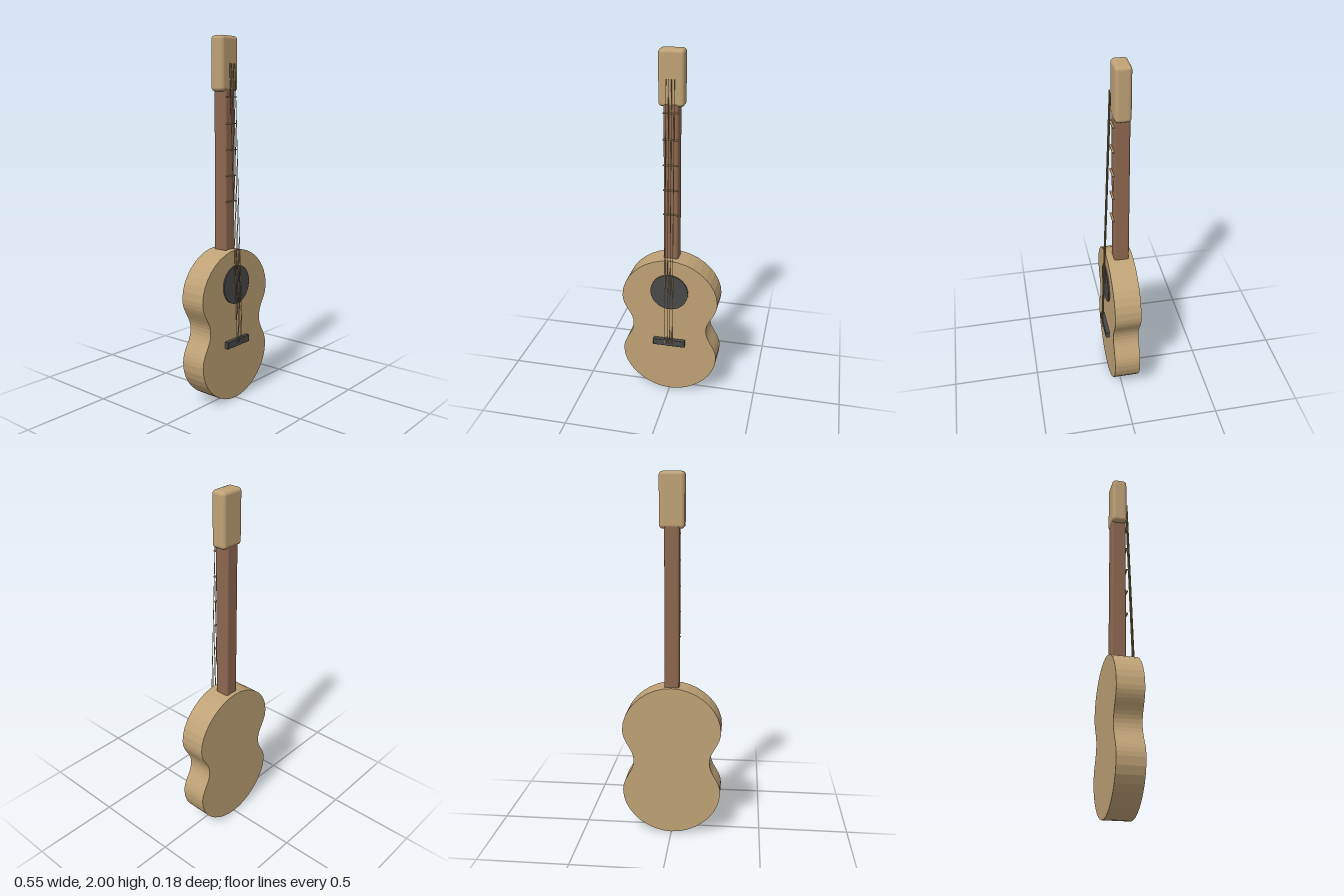
import * as THREE from 'three';
import { RoundedBoxGeometry } from 'three/addons/geometries/RoundedBoxGeometry.js';

const mat = (name, color) => {
  const m = new THREE.MeshStandardMaterial({ color });
  m.name = name;
  return m;
};

export function createModel() {
  const wood = mat('pale wood', 0xbfa276);
  const neckWood = mat('brown wood', 0x8d6750);
  const dark = mat('dark grey', 0x4a494a);
  const metal = mat('brass', 0xb89c68);

  const group = new THREE.Group();
  group.name = 'guitar';
  const add = (name, geometry, material, x = 0, y = 0, z = 0) => {
    const mesh = new THREE.Mesh(geometry, material);
    mesh.name = name;
    mesh.position.set(x, y, z);
    group.add(mesh);
    return mesh;
  };

  // Hourglass body, mirrored about its waist and centre line
  const top = 0.855, mid = top / 2, wide = 0.275, waist = 0.213, bout = 0.608;
  const s = new THREE.Shape();
  s.moveTo(0, 0);
  s.bezierCurveTo(0.14, 0, wide, top - 0.74, wide, top - bout);
  s.bezierCurveTo(wide, top - 0.53, waist, top - 0.5, waist, mid);
  s.bezierCurveTo(waist, 0.5, wide, 0.53, wide, bout);
  s.bezierCurveTo(wide, 0.74, 0.14, top, 0, top);
  s.bezierCurveTo(-0.14, top, -wide, 0.74, -wide, bout);
  s.bezierCurveTo(-wide, 0.53, -waist, 0.5, -waist, mid);
  s.bezierCurveTo(-waist, top - 0.5, -wide, top - 0.53, -wide, top - bout);
  s.bezierCurveTo(-wide, top - 0.74, -0.14, 0, 0, 0);
  add('body', new THREE.ExtrudeGeometry(s, { depth: 0.147, bevelEnabled: false, curveSegments: 9 }),
    wood, 0, 0, -0.09);

  // Neck and headstock with softened edges
  add('neck', new RoundedBoxGeometry(0.08, 0.9, 0.084, 3, 0.012), neckWood, 0, 1.28, -0.024);
  add('headstock', new RoundedBoxGeometry(0.136, 0.29, 0.085, 4, 0.02), wood, 0, 1.855, -0.0245);

  // Sound hole disc and bridge
  const disc = new THREE.CylinderGeometry(0.108, 0.108, 0.008, 40).rotateX(Math.PI / 2);
  add('soundHole', disc, dark, 0, 0.66, 0.0605);
  add('bridge', new RoundedBoxGeometry(0.186, 0.04, 0.03, 2, 0.004), dark, 0, 0.332, 0.065);

  // Frets
  for (let i = 0; i < 5; i++) {
    add('fret', new THREE.BoxGeometry(0.082, 0.006, 0.011), metal, 0, 1.12 + i * 0.14, 0.0225);
  }

  // Strings slope from the bridge down towards the headstock
  const low = new THREE.Vector3(0, 0.335, 0.085);
  const high = new THREE.Vector3(0, 1.855, 0.03);
  const dir = high.clone().sub(low);
  for (let i = 0; i < 4; i++) {
    const string = add('string', new THREE.CylinderGeometry(0.002, 0.002, dir.length(), 6), metal,
      (i - 1.5) * 0.0145, (low.y + high.y) / 2, (low.z + high.z) / 2);
    string.quaternion.setFromUnitVectors(new THREE.Vector3(0, 1, 0), dir.clone().normalize());
  }
  return group;
}
